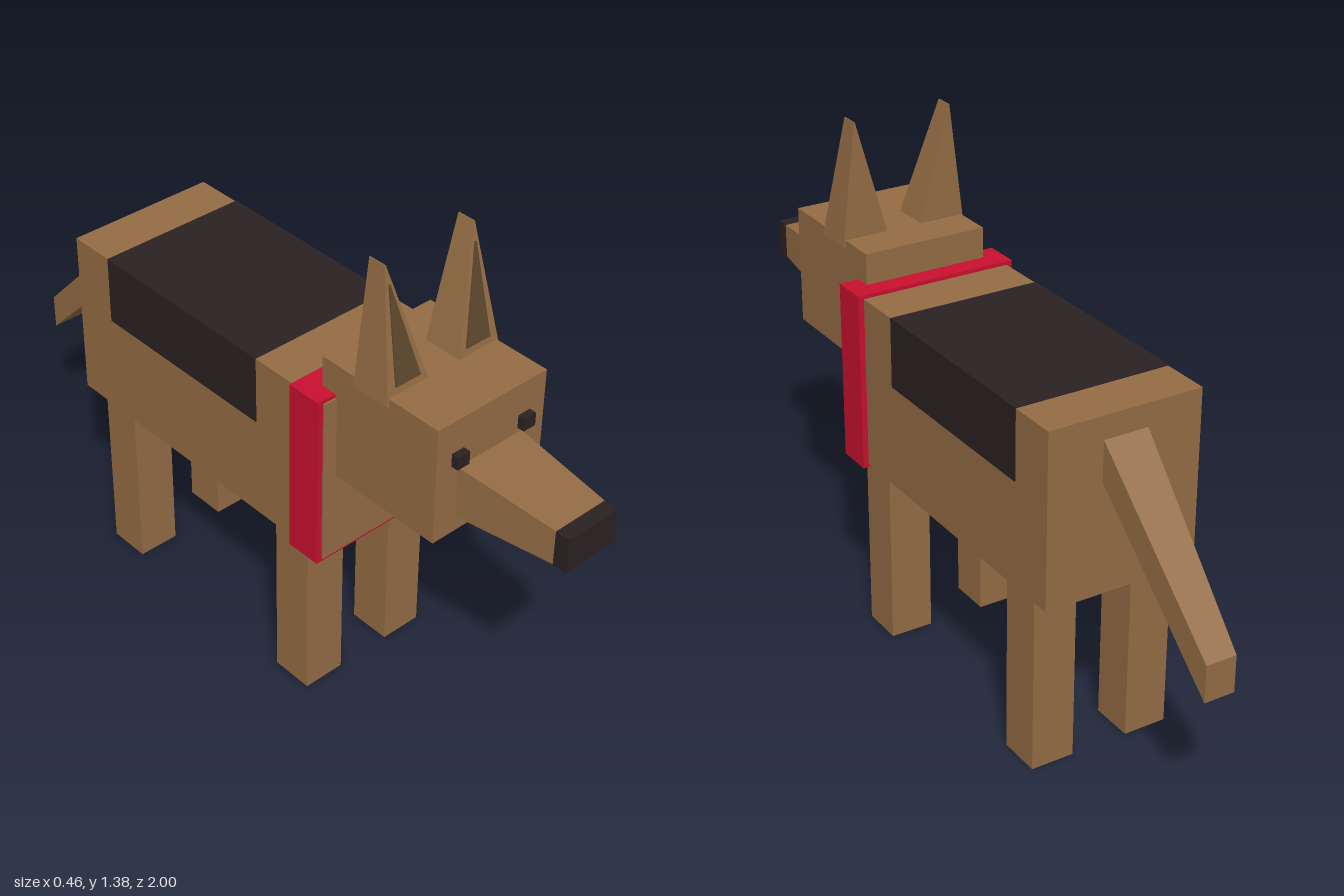
import * as THREE from 'three';

const mat = (name, color) => {
  const m = new THREE.MeshStandardMaterial({ color });
  m.name = name;
  return m;
};

export function createModel() {
  const fur = mat('brown fur', 0x946c44);
  const dark = mat('black fur', 0x2b2122);
  const red = mat('red collar', 0xc8102e);
  const innerEar = mat('inner ear brown', 0x5e472c);

  const dog = new THREE.Group();
  dog.name = 'dog';

  const add = (name, geometry, material) => {
    const mesh = new THREE.Mesh(geometry, material);
    mesh.name = name;
    dog.add(mesh);
    return mesh;
  };

  // Box given by its lower and upper limits on each axis
  const box = (name, material, [x0, x1], [y0, y1], [z0, z1]) => {
    const g = new THREE.BoxGeometry(x1 - x0, y1 - y0, z1 - z0);
    g.translate((x0 + x1) / 2, (y0 + y1) / 2, (z0 + z1) / 2);
    return add(name, g, material);
  };

  // Tapered block: each corner of a unit box is placed by a rule
  const block = (name, material, rule) => {
    const g = new THREE.BoxGeometry(1, 1, 1).toNonIndexed();
    const p = g.attributes.position;
    for (let i = 0; i < p.count; i++) {
      p.setXYZ(i, ...rule(p.getX(i), p.getY(i), p.getZ(i)));
    }
    g.computeVertexNormals();
    return add(name, g, material);
  };

  // Trunk, back patch and collar
  box('body', fur, [-0.214, 0.214], [0.5, 0.975], [-0.61, 0.35]);
  box('saddlePatch', dark, [-0.216, 0.216], [0.785, 0.977], [-0.475, 0.105]);
  box('collar', red, [-0.23, 0.23], [0.49, 0.985], [0.245, 0.345]);

  // Head, tapering snout and nose
  box('head', fur, [-0.175, 0.175], [0.743, 1.07], [0.3, 0.68]);
  block('snout', fur, (x, y, z) => (z > 0
    ? [x * 0.16, 0.858 + y * 0.096, 0.96]
    : [x * 0.208, 0.858 + y * 0.145, 0.68]));
  box('nose', dark, [-0.08, 0.08], [0.81, 0.906], [0.96, 1]);

  // Tail sloping down and back
  block('tail', fur, (x, y, z) => (z > 0
    ? [x * 0.124, 0.857 + y * 0.11, -0.61]
    : [x * 0.084, 0.464 + y * 0.1, -1]));

  for (const [side, s] of [['left', 1], ['right', -1]]) {
    // Legs
    for (const [end, z] of [['Front', 0.22], ['Back', -0.48]]) {
      box(side + end + 'Leg', fur, [s * 0.14 - 0.06, s * 0.14 + 0.06], [0, 0.5], [z - 0.06, z + 0.06]);
    }

    // Eyes
    box(side + 'Eye', dark, [s * 0.108 - 0.019, s * 0.108 + 0.019], [0.945, 0.981], [0.675, 0.7]);

    // Ears: wide foot, narrow ridge at the tip
    block(side + 'Ear', fur, (x, y, z) => (y > 0
      ? [s * 0.139 + x * 0.003, 1.383, 0.435 + z * 0.05]
      : [s * 0.113 + x * 0.136, 1.05, 0.468 + z * 0.114]));

    // Inner ear plate lying on the sloping ear front
    block(side + 'InnerEar', innerEar, (x, y, z) => (y > 0
      ? [s * 0.135 + x * 0.004, 1.335, 0.47 + z * 0.006]
      : [s * 0.113 + x * 0.078, 1.09, 0.518 + z * 0.006]));
  }

  return dog;
}
